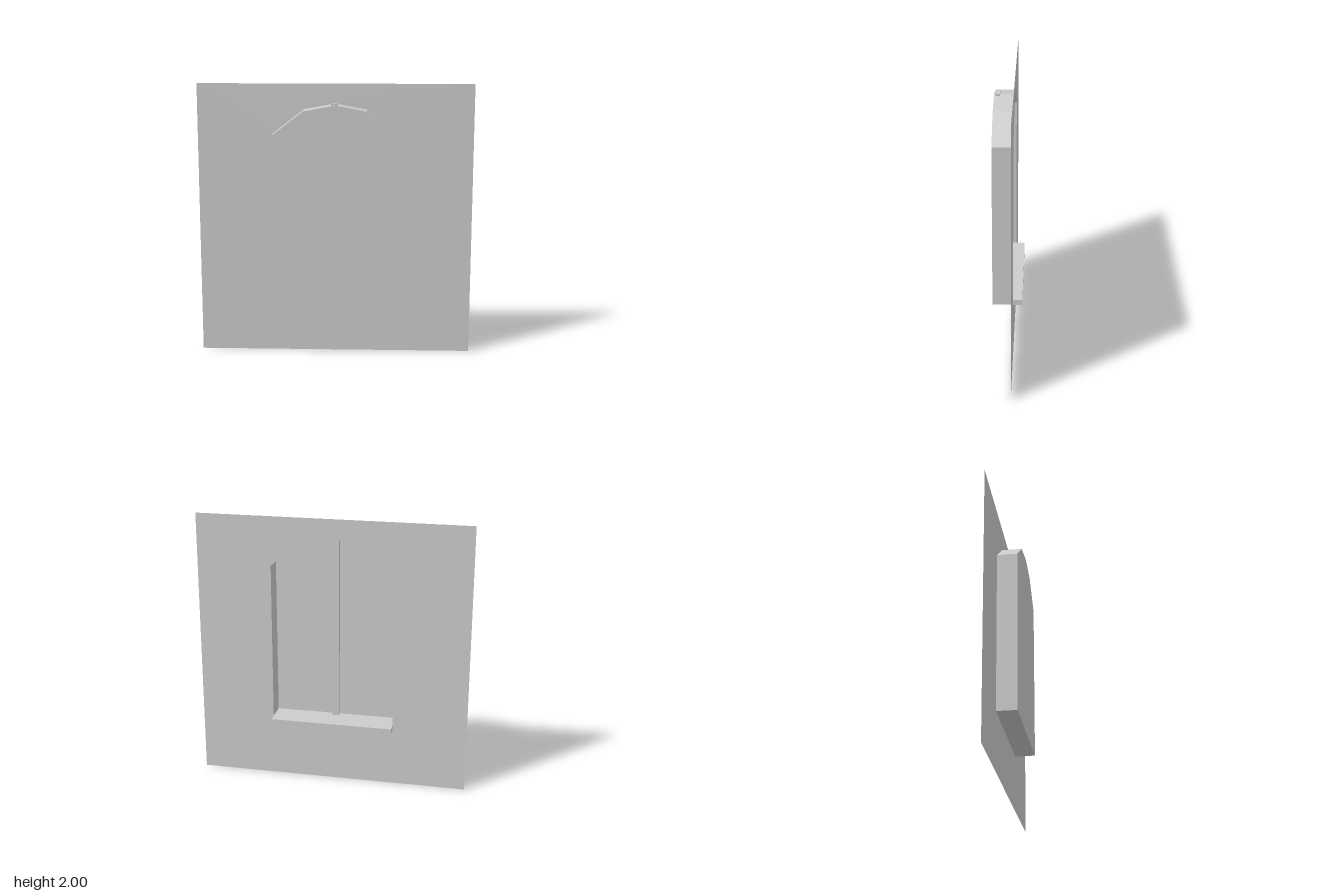
import * as THREE from 'three';

export function createModel() {
  const group = new THREE.Group();
  group.name = 'wallWithArchedNiche';
  const plaster = new THREE.MeshStandardMaterial({ color: 0xcccccc, side: THREE.DoubleSide });
  plaster.name = 'grey plaster';

  const wallZ = -0.041, paneZ = 0.107, sillZ = -0.107;
  const bottom = 0.428, sillTop = 0.467, halfWidth = 0.452;

  const add = (name, geometry, x = 0, y = 0, z = 0) => {
    const mesh = new THREE.Mesh(geometry, plaster);
    mesh.name = name;
    mesh.position.set(x, y, z);
    group.add(mesh);
  };

  // Arched outline, anticlockwise from the lower left
  const outline = [
    [-halfWidth, bottom], [halfWidth, bottom], [halfWidth, 1.64], [0.226, 1.816],
    [0, 1.858], [-0.226, 1.816], [-halfWidth, 1.64],
  ].map(([x, y]) => new THREE.Vector2(x, y));

  // Thin wall with the arched opening
  const wall = new THREE.Shape([[-1, 0], [1, 0], [1, 2], [-1, 2]].map(([x, y]) => new THREE.Vector2(x, y)));
  wall.holes.push(new THREE.Path(outline));
  add('wall', new THREE.ShapeGeometry(wall), 0, 0, wallZ);

  // Flat pane closing the niche
  add('windowPane', new THREE.ShapeGeometry(new THREE.Shape(outline)), 0, 0, paneZ);

  // Jambs and faceted arch: one quad per outline edge, leaving out the bottom
  const positions = [];
  for (let i = 1; i < outline.length; i++) {
    const a = outline[i], b = outline[(i + 1) % outline.length];
    positions.push(
      a.x, a.y, paneZ, a.x, a.y, wallZ, b.x, b.y, wallZ,
      a.x, a.y, paneZ, b.x, b.y, wallZ, b.x, b.y, paneZ);
  }
  const reveal = new THREE.BufferGeometry();
  reveal.setAttribute('position', new THREE.Float32BufferAttribute(positions, 3));
  reveal.computeVertexNormals();
  add('archReveal', reveal);

  // Sill running through the opening and projecting behind the wall
  add('sill', new THREE.BoxGeometry(halfWidth * 2, sillTop - bottom, paneZ - sillZ - 0.001),
    0, (bottom + sillTop) / 2, (paneZ + sillZ - 0.001) / 2);

  // Central mullion, its top just breaking through the arch
  const mullionTop = 1.868;
  add('mullion', new THREE.BoxGeometry(0.05, mullionTop - sillTop, 0.03),
    -0.002, (mullionTop + sillTop) / 2, 0.08);

  return group;
}
